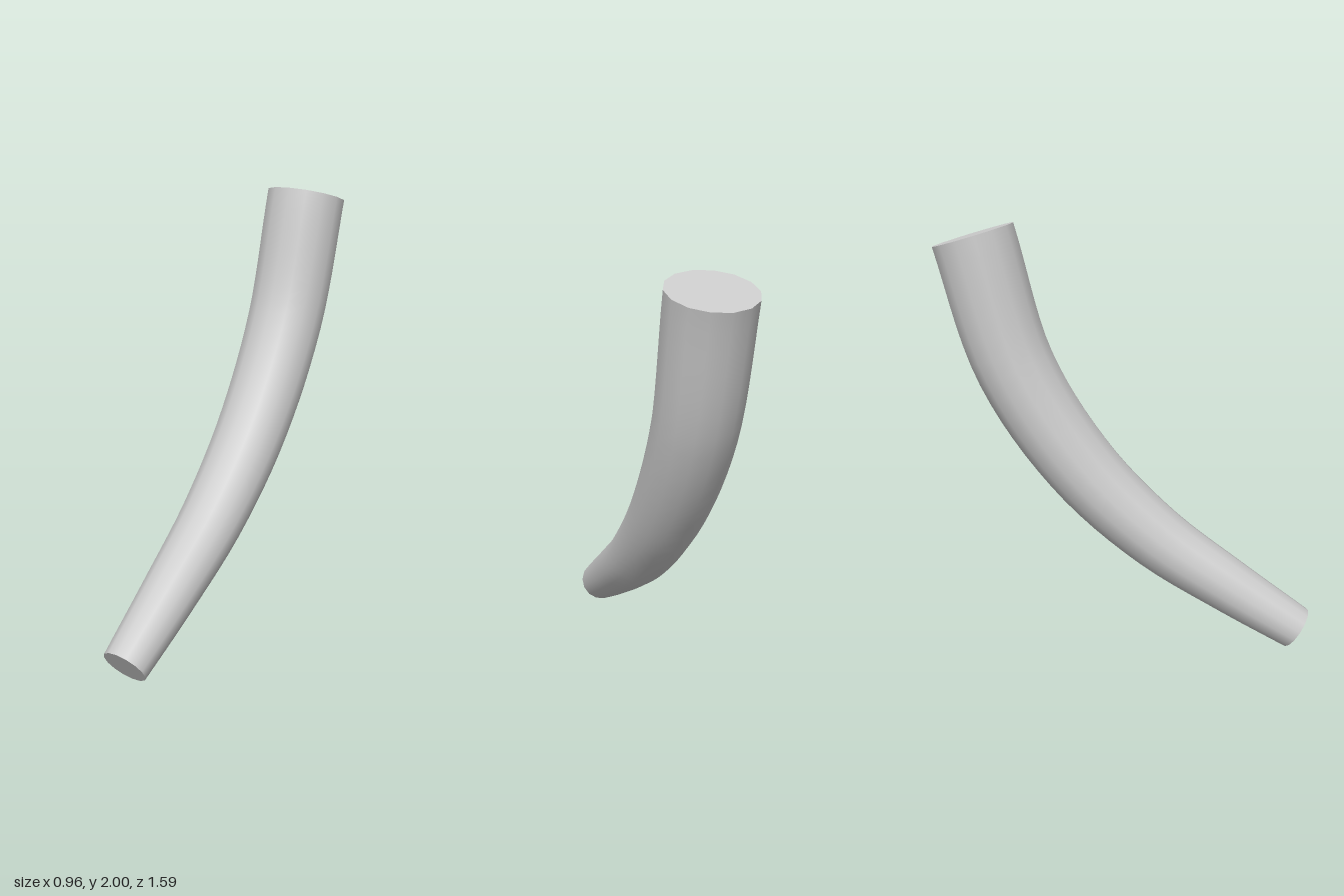
import * as THREE from 'three';

const SIDES = 14, RINGS = 28;

// Centre line from the narrow low end to the wide high end
const path = new THREE.CatmullRomCurve3([
  [-0.385, 0.095, 0.735],
  [-0.238, 0.3, 0.445],
  [-0.075, 0.55, 0.12],
  [0.078, 0.89, -0.19],
  [0.21, 1.36, -0.455],
  [0.295, 1.95, -0.605],
].map((p) => new THREE.Vector3(...p)));

// Radius grows quickly at first, then levels off
const radiusAt = (u) => 0.19 - 0.085 * (1 - u) ** 2;

// Tube whose rings are scaled about the centre line
function taperedTube() {
  const geo = new THREE.TubeGeometry(path, RINGS, 1, SIDES, false);
  const pos = geo.attributes.position;
  const v = new THREE.Vector3();
  for (let i = 0; i <= RINGS; i++) {
    const centre = path.getPointAt(i / RINGS);
    for (let j = 0; j <= SIDES; j++) {
      const k = i * (SIDES + 1) + j;
      v.fromBufferAttribute(pos, k).sub(centre).multiplyScalar(radiusAt(i / RINGS)).add(centre);
      pos.setXYZ(k, v.x, v.y, v.z);
    }
  }
  return geo;
}

// Flat fan closing one ring of the tube
function endCap(tube, ring) {
  const centre = path.getPointAt(ring / RINGS);
  const corner = (j) => new THREE.Vector3().fromBufferAttribute(tube.attributes.position, ring * (SIDES + 1) + j);
  const points = [];
  for (let j = 0; j < SIDES; j++) {
    const [a, b] = ring === 0 ? [j, j + 1] : [j + 1, j];
    points.push(centre, corner(a), corner(b));
  }
  const geo = new THREE.BufferGeometry().setFromPoints(points);
  geo.computeVertexNormals();
  return geo;
}

export function createModel() {
  const group = new THREE.Group();
  group.name = 'curvedTaperedRod';
  const material = new THREE.MeshStandardMaterial({ color: 0xcccccc });
  const add = (name, geo) => {
    const mesh = new THREE.Mesh(geo, material);
    mesh.name = name;
    group.add(mesh);
  };

  const tube = taperedTube();
  add('shaft', tube);
  add('narrowEnd', endCap(tube, 0));
  add('wideEnd', endCap(tube, RINGS));
  return group;
}
